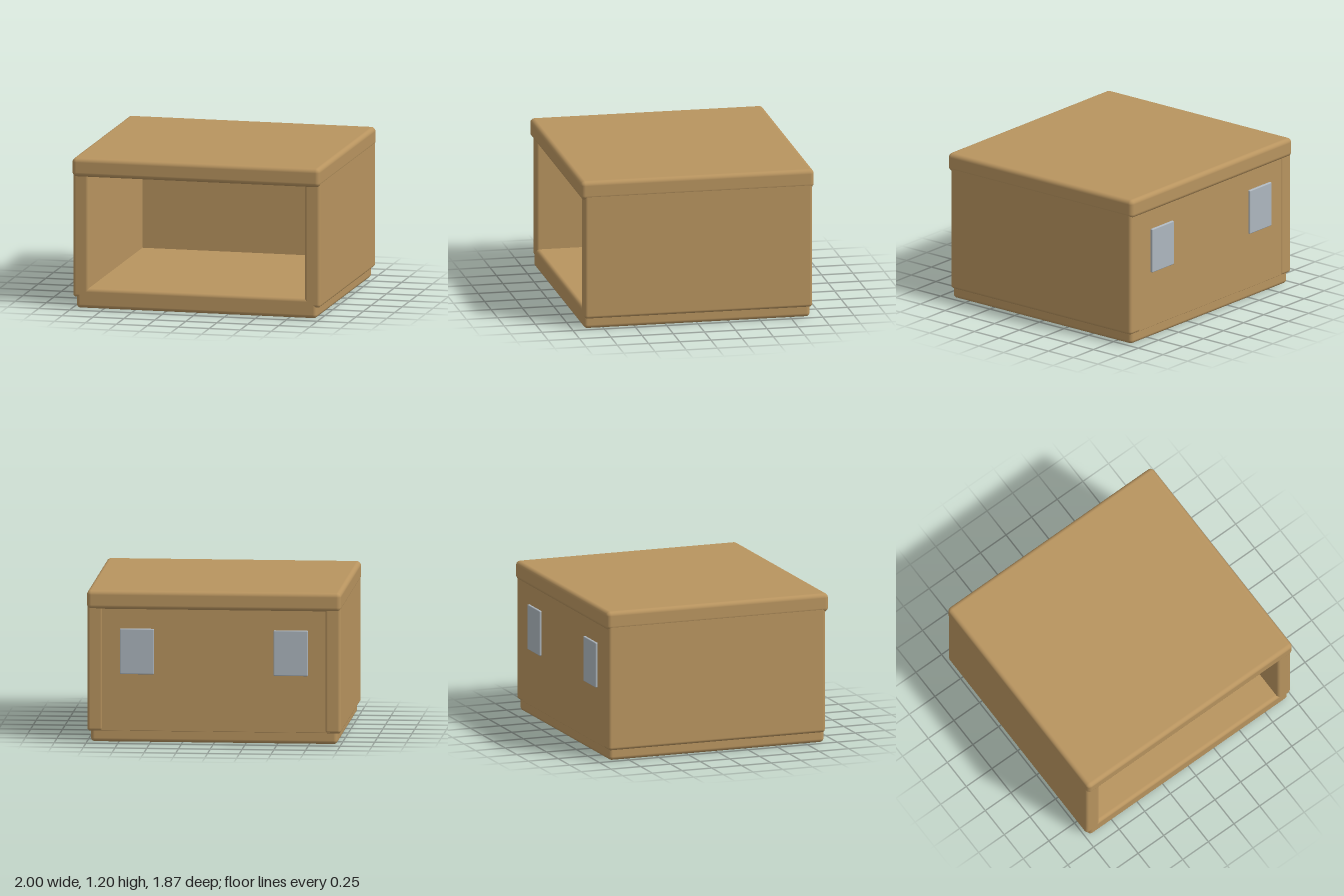
import * as THREE from 'three';
import { RoundedBoxGeometry } from 'three/addons/geometries/RoundedBoxGeometry.js';

const wood = new THREE.MeshStandardMaterial({ color: 0xb8945f });
const metal = new THREE.MeshStandardMaterial({ color: 0xadb6be });

// Rounded board given by its extents on each axis
function board(name, [x0, x1], [y0, y1], [z0, z1], radius, material = wood) {
  const geometry = new RoundedBoxGeometry(x1 - x0, y1 - y0, z1 - z0, 4, radius);
  const mesh = new THREE.Mesh(geometry, material);
  mesh.name = name;
  mesh.position.set((x0 + x1) / 2, (y0 + y1) / 2, (z0 + z1) / 2);
  return mesh;
}

export function createModel() {
  const model = new THREE.Group();
  model.name = 'openCabinet';

  // Overhanging top and slightly narrower base
  model.add(board('top', [-1, 1], [1.05, 1.2], [-0.933, 0.933], 0.035));
  model.add(board('base', [-0.97, 0.97], [0, 0.16], [-0.905, 0.905], 0.03));

  // Back panel set between the rear edges of the sides
  model.add(board('backPanel', [-0.94, 0.94], [0.09, 1.1], [-0.914, -0.86], 0.004));

  // Side walls and the metal plates on the back
  for (const [side, s] of [['left', 1], ['right', -1]]) {
    const span = (a, b) => (s > 0 ? [a, b] : [-b, -a]);
    model.add(board(side + 'Wall', span(0.87, 0.998), [0.085, 1.14], [-0.92, 0.905], 0.025));
    model.add(board(side + 'BackPlate', span(0.47, 0.74), [0.54, 0.9], [-0.932, -0.905], 0.008, metal));
  }
  return model;
}
